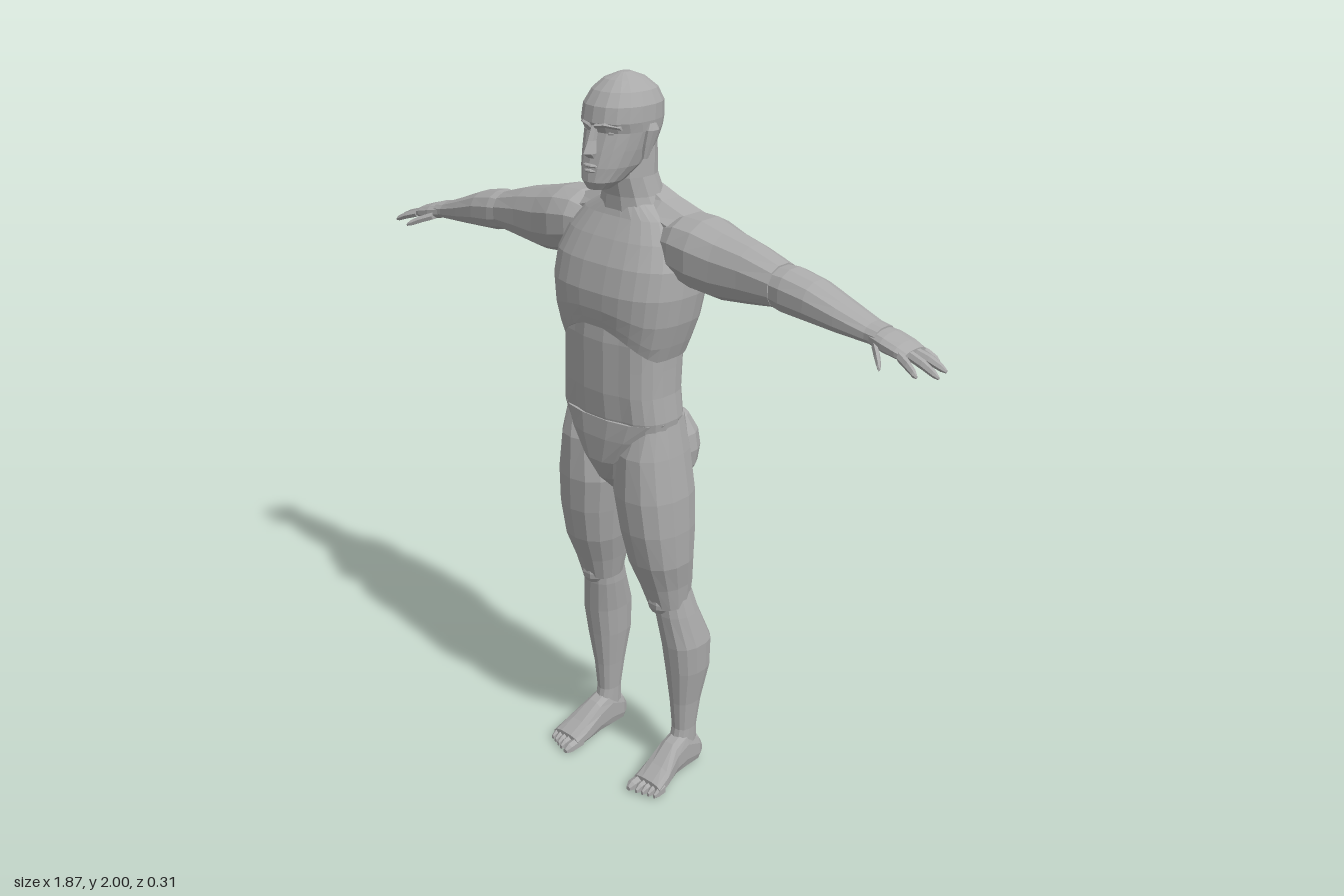
import * as THREE from 'three';

const skin = new THREE.MeshStandardMaterial({ color: 0xaaaaaa });
skin.name = 'clay grey';

// Faceted mesh; winding is turned outward by the sign of the volume
function facet(name, pos, idx) {
  const a = new THREE.Vector3(), b = new THREE.Vector3(), c = new THREE.Vector3();
  let vol = 0;
  for (let i = 0; i < idx.length; i += 3) {
    a.fromArray(pos, idx[i] * 3); b.fromArray(pos, idx[i + 1] * 3); c.fromArray(pos, idx[i + 2] * 3);
    vol += a.dot(b.cross(c));
  }
  if (vol < 0) idx.reverse();
  let geo = new THREE.BufferGeometry();
  geo.setAttribute('position', new THREE.Float32BufferAttribute(pos, 3));
  geo.setIndex(idx);
  geo = geo.toNonIndexed();
  geo.computeVertexNormals();
  const mesh = new THREE.Mesh(geo, skin);
  mesh.name = name;
  return mesh;
}

// Capped loft: each ring is [position along axis, u0, u1, v0, v1]
// with (u, v) = (x, z) on axis y, (y, z) on axis x, (x, y) on axis z
function loft(name, axis, rings, { n = 12, p = 2.3, side = 1, warp } = {}) {
  const pos = [], idx = [], v = new THREE.Vector3();
  const put = (s, u, w) => {
    if (axis === 'y') v.set(u, s, w);
    else if (axis === 'x') v.set(s, u, w);
    else v.set(u, w, s);
    if (warp) warp(v);
    pos.push(v.x * side, v.y, v.z);
  };
  const pow = t => Math.sign(t) * Math.pow(Math.abs(t), 2 / p);
  for (const [s, u0, u1, v0, v1] of rings)
    for (let j = 0; j < n; j++) {
      const t = (j + 0.5) / n * Math.PI * 2;
      put(s, (u0 + u1) / 2 + (u1 - u0) / 2 * pow(Math.cos(t)), (v0 + v1) / 2 + (v1 - v0) / 2 * pow(Math.sin(t)));
    }
  for (let i = 0; i < rings.length - 1; i++)
    for (let j = 0; j < n; j++) {
      const a = i * n + j, b = i * n + (j + 1) % n;
      idx.push(a, b, a + n, b, b + n, a + n);
    }
  const last = (rings.length - 1) * n;
  for (const [k, ring] of [[0, rings[0]], [last, rings[rings.length - 1]]]) {
    const c = pos.length / 3;
    put(ring[0], (ring[1] + ring[2]) / 2, (ring[3] + ring[4]) / 2);
    for (let j = 0; j < n; j++) {
      const a = k + j, b = k + (j + 1) % n;
      if (k) idx.push(a, b, c); else idx.push(b, a, c);
    }
  }
  return facet(name, pos, idx);
}

// Rings symmetric in x: [y, half width, back z, front z]
const body = (name, rings, opt) => loft(name, 'y', rings.map(([y, w, b, f]) => [y, -w, w, b, f]), opt);

// Low-poly ellipsoid
function blob(name, [x, y, z], [rx, ry, rz], n = 10) {
  const rings = [-0.98, -0.8, -0.4, 0, 0.4, 0.8, 0.98].map(t => {
    const r = Math.sqrt(1 - t * t);
    return [y + ry * t, x - rx * r, x + rx * r, z - rz * r, z + rz * r];
  });
  return loft(name, 'y', rings, { n, p: 2 });
}

const bump = (x, w) => Math.exp(-(x * x) / (w * w));

function torso() {
  const g = new THREE.Group();
  g.name = 'torso';
  // Rib cage with arched lower rim, breastbone and spine grooves
  g.add(body('chest', [
    [1.3, 0.168, -0.104, 0.128], [1.34, 0.182, -0.115, 0.132], [1.4, 0.2, -0.132, 0.138], [1.47, 0.21, -0.146, 0.138],
    [1.54, 0.208, -0.15, 0.12], [1.6, 0.185, -0.145, 0.09], [1.65, 0.145, -0.125, 0.06], [1.685, 0.08, -0.1, 0.045],
  ], { n: 28, p: 2.7, warp: v => {
    if (v.z > 0 && v.y < 1.45) v.y += (1.45 - v.y) / 0.15 * 0.08 * Math.max(0, 1 - (v.x / 0.16) ** 2);
    if (v.z < -0.05) v.z += 0.025 * bump(v.x, 0.03);
    else if (v.z > 0.05) v.z -= 0.008 * bump(v.x, 0.02);
  } }));
  g.add(body('abdomen', [
    [1.06, 0.165, -0.085, 0.11], [1.13, 0.174, -0.09, 0.124], [1.2, 0.166, -0.09, 0.13],
    [1.27, 0.165, -0.096, 0.13], [1.34, 0.165, -0.1, 0.13], [1.43, 0.165, -0.1, 0.118],
  ], { n: 24, p: 2.6, warp: v => {
    if (v.z > 0.05) v.z -= 0.007 * (bump(v.x, 0.02) + bump(Math.abs(v.x) - 0.085, 0.02));
    else if (v.z < -0.05) v.z += 0.012 * bump(v.x, 0.03);
  } }));
  g.add(body('pelvis', [
    [0.89, 0.02, -0.03, 0.05], [0.94, 0.045, -0.06, 0.1], [1.0, 0.085, -0.085, 0.126],
    [1.07, 0.145, -0.09, 0.13], [1.125, 0.174, -0.09, 0.127],
  ], { n: 16, p: 2.5 }));
  for (const s of [-1, 1]) {
    g.add(blob('buttock', [s * 0.083, 1.01, -0.075], [0.085, 0.115, 0.08], 12));
    g.add(loft('trapezius', 'x', [
      [0.02, 1.58, 1.735, -0.1, 0], [0.1, 1.57, 1.695, -0.125, 0.025], [0.2, 1.55, 1.66, -0.135, 0.03],
    ], { side: s, n: 8 }));
  }
  return g;
}

function head() {
  const g = new THREE.Group();
  g.name = 'head';
  g.add(body('neck', [
    [1.6, 0.08, -0.1, 0.06], [1.66, 0.095, -0.105, 0.055], [1.7, 0.078, -0.09, 0.055],
    [1.75, 0.068, -0.074, 0.065], [1.83, 0.066, -0.07, 0.05],
  ], { n: 12 }));
  g.add(body('skull', [
    [1.73, 0.028, 0.07, 0.132], [1.75, 0.048, 0.03, 0.142], [1.785, 0.066, -0.035, 0.138], [1.825, 0.077, -0.068, 0.128],
    [1.868, 0.086, -0.084, 0.115], [1.892, 0.089, -0.089, 0.126], [1.93, 0.088, -0.088, 0.118],
    [1.962, 0.073, -0.072, 0.095], [1.986, 0.046, -0.042, 0.065], [2, 0.012, -0.005, 0.028],
  ], { n: 18, p: 2.25 }));
  g.add(body('nose', [
    [1.808, 0.014, 0.11, 0.138], [1.82, 0.018, 0.11, 0.156], [1.85, 0.01, 0.1, 0.14], [1.885, 0.009, 0.1, 0.127],
  ], { n: 6, p: 2 }));
  g.add(blob('upperLip', [0, 1.789, 0.13], [0.026, 0.006, 0.013], 8));
  g.add(blob('lowerLip', [0, 1.777, 0.13], [0.022, 0.006, 0.014], 8));
  for (const s of [-1, 1]) {
    g.add(blob('eye', [s * 0.034, 1.868, 0.097], [0.016, 0.009, 0.012], 8));
    g.add(loft('brow', 'x', [
      [0.008, 1.878, 1.892, 0.1, 0.13], [0.036, 1.882, 1.898, 0.09, 0.124], [0.066, 1.876, 1.89, 0.07, 0.098],
    ], { side: s, n: 6 }));
    g.add(loft('ear', 'y', [
      [1.8, 0.07, 0.084, 0.012, 0.03], [1.835, 0.07, 0.093, -0.004, 0.03],
      [1.87, 0.07, 0.102, -0.014, 0.028], [1.885, 0.075, 0.096, -0.006, 0.018],
    ], { side: s, n: 8 }));
  }
  return g;
}

function arm(side) {
  const g = new THREE.Group();
  g.name = side > 0 ? 'leftArm' : 'rightArm';
  const o = { side, n: 12 };
  g.add(loft('upperArm', 'x', [
    [0.13, 1.53, 1.65, -0.11, 0.04], [0.18, 1.505, 1.672, -0.138, 0.058], [0.24, 1.488, 1.672, -0.135, 0.062],
    [0.31, 1.483, 1.655, -0.115, 0.052], [0.39, 1.492, 1.638, -0.1, 0.042], [0.48, 1.505, 1.61, -0.086, 0.034],
  ], o));
  g.add(loft('forearm', 'x', [
    [0.45, 1.51, 1.605, -0.08, 0.028], [0.51, 1.495, 1.607, -0.092, 0.034], [0.58, 1.49, 1.592, -0.09, 0.03],
    [0.66, 1.484, 1.56, -0.084, 0.02], [0.74, 1.48, 1.53, -0.074, 0.008], [0.77, 1.48, 1.525, -0.072, 0.008],
  ], o));
  g.add(loft('palm', 'x', [
    [0.745, 1.481, 1.524, -0.07, 0.006], [0.79, 1.472, 1.518, -0.08, 0.016],
    [0.83, 1.468, 1.506, -0.08, 0.018], [0.855, 1.468, 1.494, -0.074, 0.014],
  ], o));
  // Fingers: start x, y, z to tip x, y, z
  const fingers = [
    [0.77, 1.488, 0.004, 0.825, 1.462, 0.06], [0.84, 1.483, 0.008, 0.905, 1.458, 0.034],
    [0.845, 1.484, -0.016, 0.935, 1.452, -0.008], [0.845, 1.483, -0.042, 0.925, 1.452, -0.054],
    [0.835, 1.48, -0.066, 0.885, 1.455, -0.086],
  ];
  fingers.forEach(([x0, y0, z0, x1, y1, z1], i) => {
    const rings = [[0, 0.012], [0.5, 0.0115], [0.85, 0.009], [1, 0.004]].map(([t, r]) => {
      const y = y0 + (y1 - y0) * t * (0.6 + 0.4 * t), z = z0 + (z1 - z0) * t;
      return [x0 + (x1 - x0) * t, y - r, y + r, z - r, z + r];
    });
    g.add(loft(i ? 'finger' : 'thumb', 'x', rings, { side, n: 6, p: 2 }));
  });
  return g;
}

function leg(side) {
  const g = new THREE.Group();
  g.name = side > 0 ? 'leftLeg' : 'rightLeg';
  const o = { side, n: 14 };
  g.add(loft('thigh', 'y', [
    [1.125, 0.07, 0.17, -0.07, 0.085], [1.03, 0.02, 0.186, -0.095, 0.115], [0.91, 0.004, 0.203, -0.105, 0.12],
    [0.81, 0.02, 0.207, -0.1, 0.11], [0.71, 0.036, 0.205, -0.09, 0.088], [0.63, 0.058, 0.19, -0.096, 0.055],
    [0.56, 0.075, 0.182, -0.085, 0.03],
  ], o));
  g.add(blob('kneecap', [side * 0.128, 0.575, 0.012], [0.036, 0.038, 0.028], 8));
  g.add(loft('shin', 'y', [
    [0.61, 0.082, 0.178, -0.09, 0.015], [0.53, 0.083, 0.195, -0.112, 0.012], [0.43, 0.094, 0.214, -0.15, 0],
    [0.34, 0.1, 0.209, -0.15, -0.014], [0.23, 0.113, 0.19, -0.127, -0.03], [0.14, 0.121, 0.182, -0.113, -0.038],
    [0.06, 0.122, 0.182, -0.118, -0.02],
  ], o));
  g.add(loft('foot', 'z', [
    [-0.135, 0.135, 0.172, 0.015, 0.06], [-0.115, 0.124, 0.182, 0, 0.095], [-0.06, 0.119, 0.187, 0, 0.13],
    [-0.01, 0.117, 0.192, 0.004, 0.108], [0.05, 0.114, 0.21, 0, 0.066], [0.095, 0.115, 0.216, 0, 0.04],
  ], { side, n: 12, p: 2.8 }));
  // Toes shrink from the big toe outward
  for (let i = 0; i < 5; i++) {
    const r = i ? 0.0105 - i * 0.0005 : 0.015, x = i ? 0.136 + i * 0.0178 : 0.129, end = 0.134 - i * 0.006;
    g.add(loft('toe', 'z', [
      [0.07, x - r, x + r, 0, 0.036], [end - 0.015, x - r, x + r, 0, 0.03], [end, x - r / 2, x + r / 2, 0.004, 0.018],
    ], { side, n: 6 }));
  }
  return g;
}

export function createModel() {
  const model = new THREE.Group();
  model.name = 'figure';
  model.add(torso(), head());
  for (const s of [-1, 1]) model.add(arm(s), leg(s));
  return model;
}
